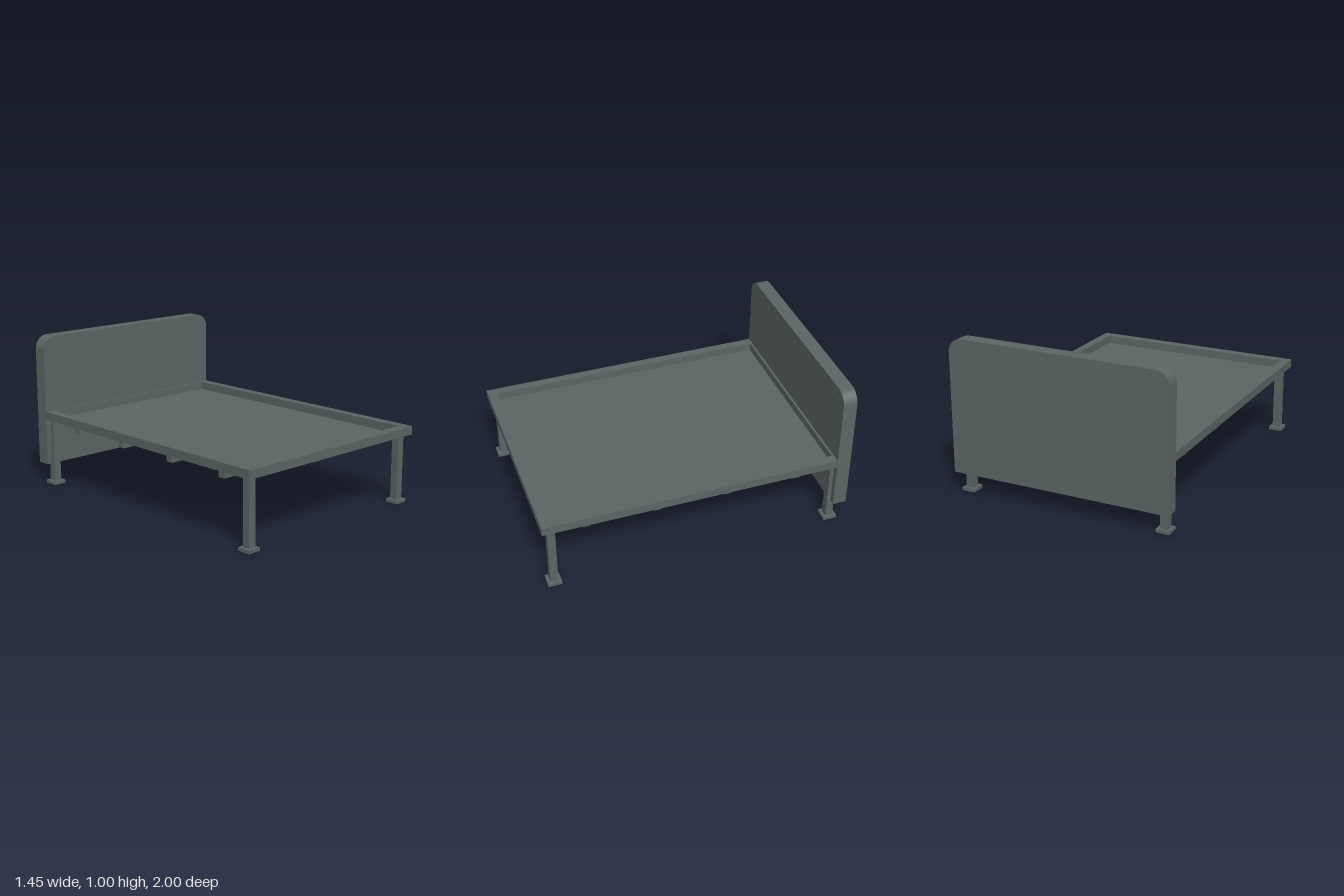
import * as THREE from 'three';
import { toCreasedNormals } from 'three/addons/utils/BufferGeometryUtils.js';

export function createModel() {
  const bed = new THREE.Group();
  bed.name = 'bed';
  const slate = new THREE.MeshStandardMaterial({ color: 0x5a6563 });
  slate.name = 'slate grey';

  const add = (name, geometry) => {
    const mesh = new THREE.Mesh(geometry, slate);
    mesh.name = name;
    bed.add(mesh);
    return mesh;
  };
  // Box given by its minimum and maximum on each axis
  const box = (name, x0, x1, y0, y1, z0, z1) =>
    add(name, new THREE.BoxGeometry(x1 - x0, y1 - y0, z1 - z0))
      .position.set((x0 + x1) / 2, (y0 + y1) / 2, (z0 + z1) / 2);

  // Headboard with rounded top corners
  const w = 0.725, r = 0.09;
  const outline = new THREE.Shape();
  outline.moveTo(-w, 0.14);
  outline.lineTo(w, 0.14);
  outline.lineTo(w, 1 - r);
  outline.absarc(w - r, 1 - r, r, 0, Math.PI / 2, false);
  outline.lineTo(-w + r, 1);
  outline.absarc(-w + r, 1 - r, r, Math.PI / 2, Math.PI, false);
  outline.closePath();
  const board = new THREE.ExtrudeGeometry(outline, { depth: 0.09, bevelEnabled: false, curveSegments: 16 });
  board.translate(0, 0, -1);
  add('headboard', toCreasedNormals(board, 0.5));

  // Frame rails, with a fine seam at the front corners
  box('leftRail', 0.667, w, 0.445, 0.5, -0.91, 0.998);
  box('rightRail', -w, -0.667, 0.445, 0.5, -0.91, 0.998);
  box('frontRail', -0.663, 0.663, 0.445, 0.5, 0.935, 0.998);
  box('headRail', -0.667, 0.667, 0.445, 0.5, -0.91, -0.895);

  // Deck panel and the cross slats below it
  box('deck', -0.667, 0.667, 0.432, 0.447, -0.91, 0.94);
  for (const z of [0.71, 0.255, -0.2, -0.655])
    box('slat', -0.665, 0.665, 0.383, 0.432, z - 0.024, z + 0.024);

  // Legs with square foot plates
  for (const x of [-0.664, 0.664])
    for (const z of [0.935, -0.908]) {
      box('leg', x - 0.025, x + 0.025, 0.02, 0.446, z - 0.025, z + 0.025);
      box('foot', x - 0.044, x + 0.044, 0, 0.021, z - 0.044, z + 0.044);
    }

  // Small bolt heads facing the front or the sides
  const head = new THREE.CylinderGeometry(0.006, 0.006, 0.006, 10);
  const bolt = (name, x, y, z, side = 0) => {
    const mesh = add(name, head);
    mesh.position.set(x, y, z);
    if (side) mesh.rotation.z = -side * Math.PI / 2;
    else mesh.rotation.x = Math.PI / 2;
  };
  for (let i = -3; i <= 3; i++) bolt('headboardBolt', i * 0.2175, 0.93, -0.91);
  for (let i = -2; i <= 2; i++) bolt('frontRailBolt', i * 0.29, 0.473, 0.997);
  for (const s of [-1, 1]) {
    for (const y of [0.775, 0.592]) bolt('headboardBolt', s * 0.6525, y, -0.91);
    for (let i = 0; i < 6; i++) bolt('sideRailBolt', s * (w - 0.001), 0.473, 0.77 - i * 0.318, s);
  }
  return bed;
}
